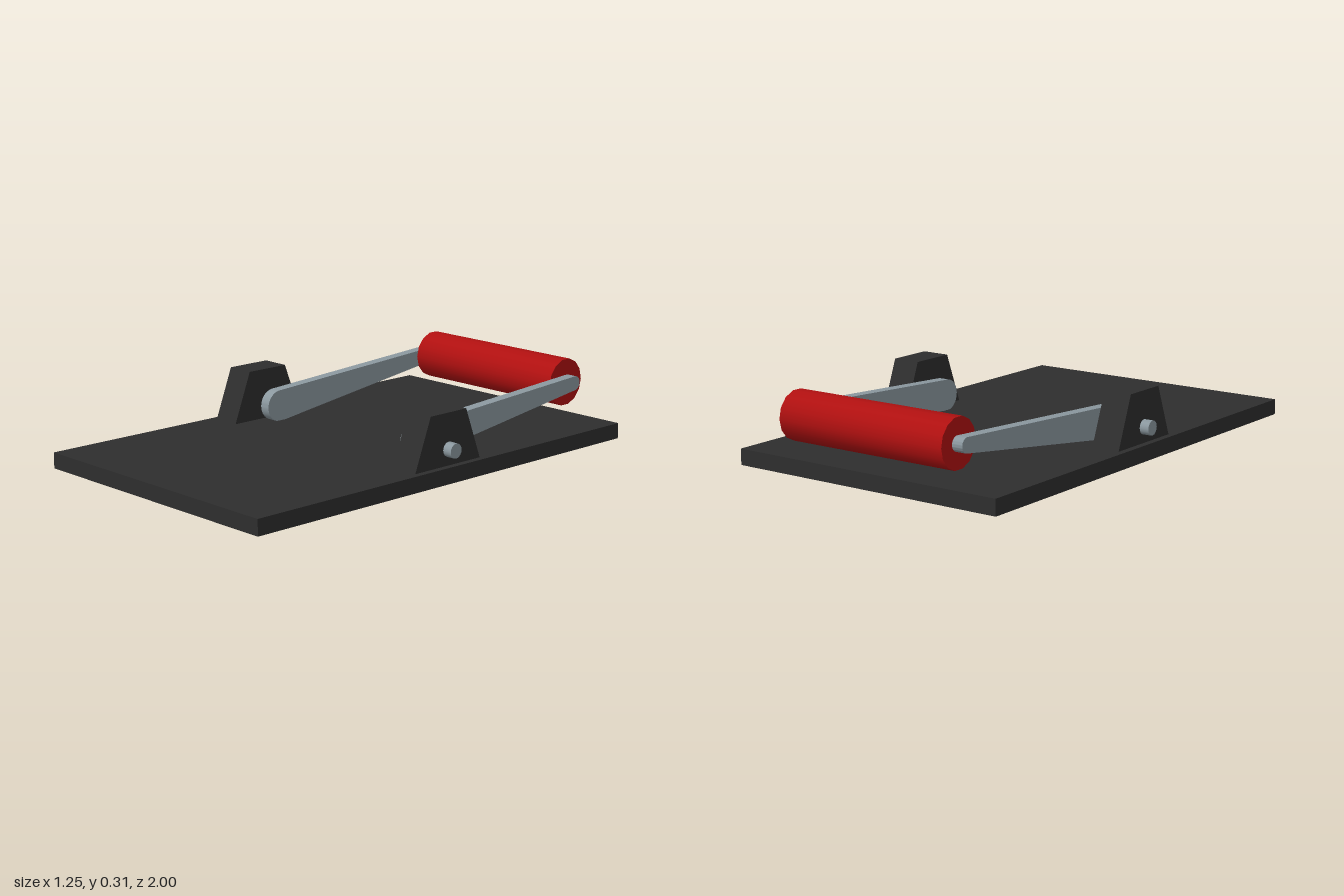
import * as THREE from 'three';
import { toCreasedNormals } from 'three/addons/utils/BufferGeometryUtils.js';

const dark = new THREE.MeshStandardMaterial({ color: 0x2e2e2e });
const steel = new THREE.MeshStandardMaterial({ color: 0x8b989f });
const red = new THREE.MeshStandardMaterial({ color: 0xb01010 });

function add(parent, name, geometry, material) {
  const mesh = new THREE.Mesh(geometry, material);
  mesh.name = name;
  parent.add(mesh);
  return mesh;
}

const polygon = (points) => points.map(([a, b]) => new THREE.Vector2(a, b));

// Rectangle drawn in (x, -z)
const rect = (x0, x1, z0, z1) => polygon([[x0, -z1], [x1, -z1], [x1, -z0], [x0, -z0]]);

// Extrude an (x, -z) outline upward from y0 to y1
function slab(outline, holes, y0, y1) {
  const shape = new THREE.Shape(outline);
  shape.holes = holes.map((h) => new THREE.Path(h));
  return new THREE.ExtrudeGeometry(shape, { depth: y1 - y0, bevelEnabled: false })
    .rotateX(-Math.PI / 2).translate(0, y0, 0);
}

// Extrude a (z, y) side profile across x0..x1
function sideProfile(shape, x0, x1) {
  return new THREE.ExtrudeGeometry(shape, { depth: x1 - x0, bevelEnabled: false, curveSegments: 12 })
    .rotateY(-Math.PI / 2).translate(x1, 0, 0);
}

function rod(radius, x0, x1, y, z, sides) {
  return new THREE.CylinderGeometry(radius, radius, x1 - x0, sides)
    .rotateZ(Math.PI / 2).translate((x0 + x1) / 2, y, z);
}

// Tapered lever outline: two round ends joined by their outer tangents
function leverShape(z0, y0, r0, z1, y1, r1) {
  const dir = Math.atan2(y1 - y0, z1 - z0);
  const spread = Math.acos((r0 - r1) / Math.hypot(z1 - z0, y1 - y0));
  const shape = new THREE.Shape();
  shape.absarc(z0, y0, r0, dir + spread, dir - spread + Math.PI * 2, false);
  shape.absarc(z1, y1, r1, dir - spread, dir + spread, false);
  return shape;
}

const TOP = 0.065;
const PIVOT = { y: 0.128, z: 0.01 };
const GRIP = { y: 0.215, z: -0.9 };

function createSide(side) {
  const group = new THREE.Group();
  group.name = side > 0 ? 'leftSide' : 'rightSide';
  const span = (a, b) => (side > 0 ? [a, b] : [-b, -a]);

  // Hollow bracket: sloping walls and roof, closed by two cheeks
  const outer = polygon([[0.193, TOP - 0.007], [0.11, 0.275], [-0.085, 0.275], [-0.168, TOP - 0.007]]);
  const wall = polygon([[0.193, TOP - 0.007], [0.11, 0.275], [-0.085, 0.275], [-0.168, TOP - 0.007],
    [-0.145, TOP - 0.007], [-0.07, 0.255], [0.095, 0.255], [0.17, TOP - 0.007]]);
  add(group, 'bracketShell', sideProfile(new THREE.Shape(wall), ...span(0.484, 0.566)), dark);
  add(group, 'bracketInnerCheek', sideProfile(new THREE.Shape(outer), ...span(0.464, 0.484)), dark);
  add(group, 'bracketOuterCheek', sideProfile(new THREE.Shape(outer), ...span(0.566, 0.585)), dark);

  // Pivot pin and lever arm
  add(group, 'pivotPin', toCreasedNormals(rod(0.03, ...span(0.4, 0.625), 0.13, PIVOT.z, 16), 0.8), steel);
  const lever = leverShape(PIVOT.z, PIVOT.y, 0.066, -0.908, 0.216, 0.03);
  add(group, 'leverArm', toCreasedNormals(sideProfile(lever, ...span(0.387, 0.433)), 0.8), steel);
  return group;
}

export function createModel() {
  const model = new THREE.Group();
  model.name = 'leverPedal';

  // Base: thin top sheet with bracket openings and a rim folded down
  const base = new THREE.Group();
  base.name = 'base';
  const edge = rect(-0.612, 0.612, -0.98, 1);
  const openings = [1, -1].map((s) => rect(s * 0.525 - 0.041, s * 0.525 + 0.041, -0.145, 0.17));
  add(base, 'topSheet', slab(edge, openings, TOP - 0.007, TOP), dark);
  add(base, 'rim', slab(edge, [rect(-0.59, 0.59, -0.958, 0.978)], 0, TOP - 0.007), dark);
  model.add(base);

  model.add(createSide(1), createSide(-1));

  // Roller grip between the lever ends
  add(model, 'roller', toCreasedNormals(rod(0.1, -0.387, 0.387, GRIP.y, GRIP.z, 14), 0.8), red);
  return model;
}
